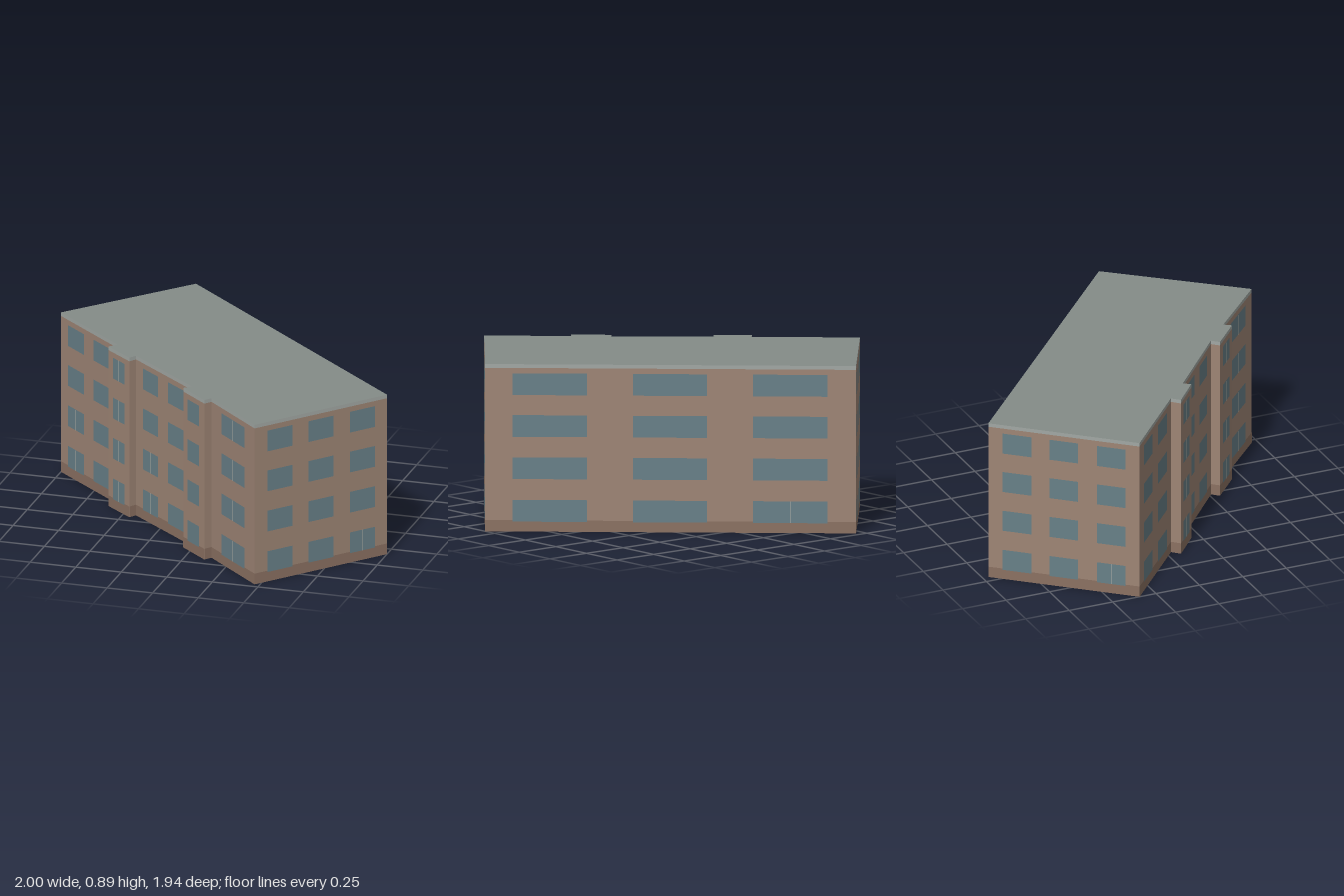
import * as THREE from 'three';

const mat = (color, side = THREE.FrontSide) => new THREE.MeshStandardMaterial({ color, side });

// Footprint corners (x, z), running left to right as seen from outside
const corners = [
  [-1, -0.345], [-0.57, 0.03], [-0.61, 0.07], [-0.455, 0.2], [-0.43, 0.162], [-0.015, 0.512],
  [-0.05, 0.548], [0.11, 0.69], [0.137, 0.652], [0.472, 0.967], [1, 0.327], [-0.452, -0.967],
];

// Per wall: window spans as fractions of its length, and which panes have a mullion
const thirds = [[0.094, 0.285], [0.405, 0.595], [0.72, 0.908]];
const lowerFloors = (floor) => floor < 2;
const everyFloor = () => true;
const groundLast = (floor, i) => floor === 0 && i === 2;
const facades = {
  0: { spans: [[0.128, 0.407], [0.58, 0.86]], split: lowerFloors },
  2: { spans: [[0.225, 0.775]], split: everyFloor },
  4: { spans: [[0.13, 0.4], [0.58, 0.855]], split: lowerFloors },
  6: { spans: [[0.22, 0.75]], split: everyFloor },
  8: { spans: [[0.24, 0.775]], split: everyFloor },
  9: { spans: thirds, split: groundLast },
  10: { spans: [[0.073, 0.274], [0.398, 0.598], [0.722, 0.923]], split: groundLast },
  11: { spans: thirds, split: groundLast },
};

const floorSills = [0.053, 0.28, 0.505, 0.728];
const windowHeight = 0.116;
const plinthTop = 0.06;
const wallTop = 0.872;
const roofTop = 0.892;

export function createModel() {
  const model = new THREE.Group();
  model.name = 'apartmentBlock';

  const brick = mat(0x9e8575, THREE.DoubleSide);
  const plinthBrown = mat(0x8b7162);
  const roofGrey = mat(0x848c88, THREE.DoubleSide);
  const corniceGrey = mat(0xa2a8a4, THREE.DoubleSide);
  const glass = mat(0x688088);
  const mullionGrey = mat(0xb5b5ac);

  // Flat roof; the shell below it is open at the ground
  const footprint = new THREE.Shape(corners.map(([x, z]) => new THREE.Vector2(x, -z)));
  const roof = new THREE.Mesh(new THREE.ShapeGeometry(footprint).rotateX(-Math.PI / 2), roofGrey);
  roof.name = 'roof';
  roof.position.y = roofTop;
  model.add(roof);

  corners.forEach(([ax, az], wall) => {
    const [bx, bz] = corners[(wall + 1) % corners.length];
    const length = Math.hypot(bx - ax, bz - az);
    const facade = new THREE.Group();
    facade.name = 'facade';
    facade.position.set(ax, 0, az);
    facade.rotation.y = Math.atan2(az - bz, bx - ax);
    model.add(facade);

    // Upright rectangle in the wall's own frame, lifted slightly off its plane
    const addPanel = (name, material, from, to, bottom, top, lift) => {
      const panel = new THREE.Mesh(new THREE.PlaneGeometry(to - from, top - bottom), material);
      panel.name = name;
      panel.position.set((from + to) / 2, (bottom + top) / 2, lift);
      facade.add(panel);
    };
    addPanel('wall', brick, 0, length, 0, wallTop, 0);
    addPanel('cornice', corniceGrey, 0, length, wallTop, roofTop, 0);
    addPanel('plinth', plinthBrown, 0, length, 0, plinthTop, 0.001);

    // Windows, some with a slim central mullion
    if (!facades[wall]) return;
    const { spans, split } = facades[wall];
    floorSills.forEach((sill, floor) => spans.forEach((span, i) => {
      const [from, to] = span.map((f) => f * length);
      const middle = (from + to) / 2;
      addPanel('window', glass, from, to, sill, sill + windowHeight, 0.002);
      if (split(floor, i)) {
        addPanel('mullion', mullionGrey, middle - 0.002, middle + 0.002, sill, sill + windowHeight, 0.003);
      }
    }));
  });
  return model;
}
